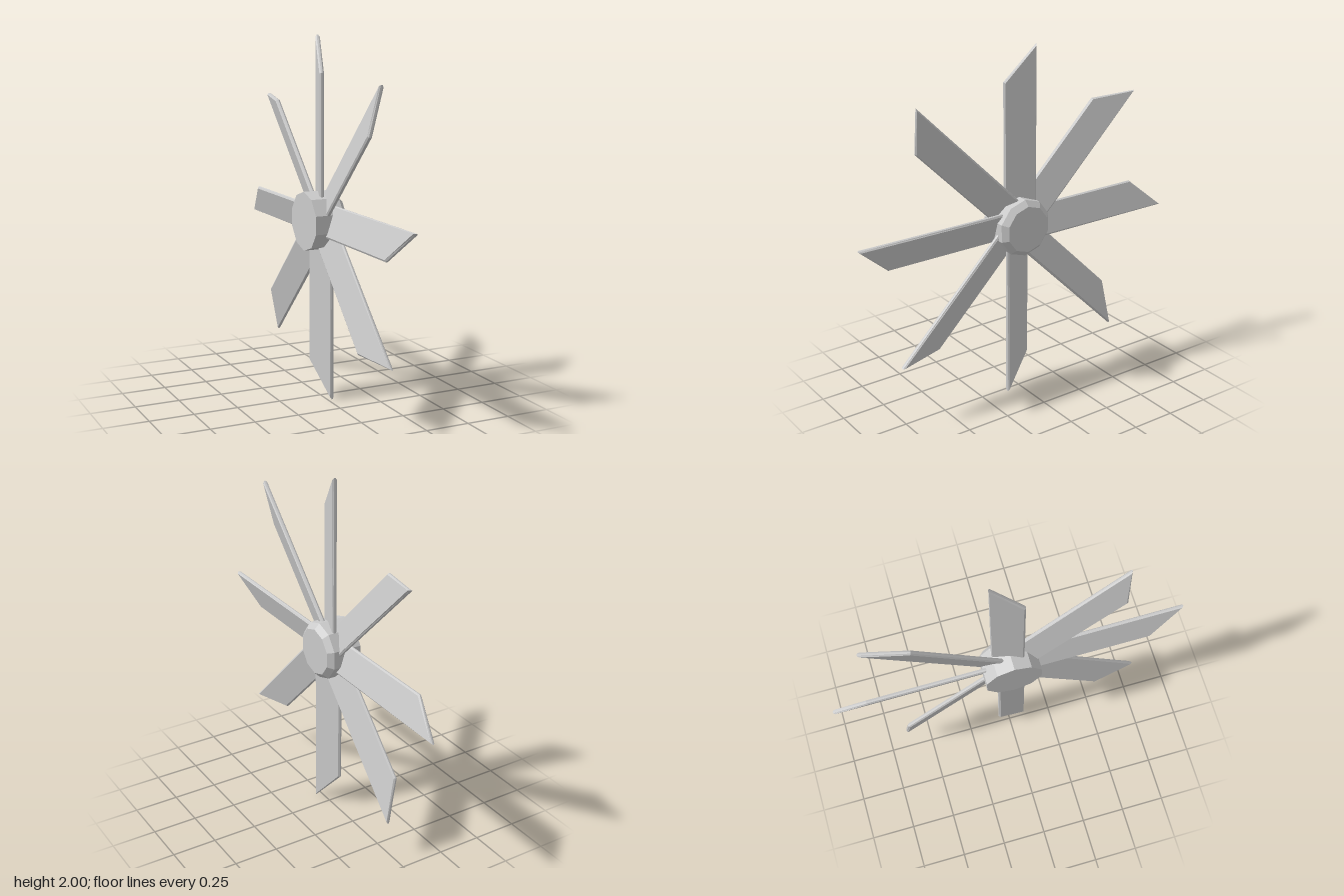
import * as THREE from 'three';

const material = new THREE.MeshStandardMaterial({ color: 0xcccccc, flatShading: true });
const BLADES = 8;
const PITCH = THREE.MathUtils.degToRad(18);

// Ten-sided hub along x, chamfered on its +x end
function createHub() {
  const profile = [[0, -0.1], [0.163, -0.1], [0.163, 0.065], [0.132, 0.095], [0, 0.095]]
    .map(([r, h]) => new THREE.Vector2(r, h));
  const geometry = new THREE.LatheGeometry(profile, 10);
  geometry.rotateY(Math.PI / 2); // a corner points straight up
  geometry.rotateZ(-Math.PI / 2);
  const hub = new THREE.Mesh(geometry, material);
  hub.name = 'hub';
  return hub;
}

// Thin bevelled blade with a slanted tip, pitched about its length
function createBladeGeometry() {
  const half = 0.09, bevel = 0.008, thickness = 0.025;
  const shape = new THREE.Shape([
    new THREE.Vector2(-half, 0.1),
    new THREE.Vector2(half, 0.1),
    new THREE.Vector2(half, 1),
    new THREE.Vector2(-half, 0.805),
  ]);
  const depth = thickness - 2 * bevel;
  const geometry = new THREE.ExtrudeGeometry(shape, {
    depth,
    bevelEnabled: true,
    bevelSegments: 1,
    bevelSize: bevel,
    bevelThickness: bevel,
    bevelOffset: -bevel,
  });
  geometry.translate(0, 0, -depth / 2);
  geometry.rotateY(Math.PI / 2 - PITCH);
  geometry.translate(0, 0, -0.01);
  return geometry;
}

export function createModel() {
  const model = new THREE.Group();
  model.name = 'fan';

  const rotor = new THREE.Group();
  rotor.name = 'rotor';
  rotor.position.y = 1;
  rotor.add(createHub());

  const bladeGeometry = createBladeGeometry();
  for (let i = 0; i < BLADES; i++) {
    const blade = new THREE.Mesh(bladeGeometry, material);
    blade.name = `blade${i + 1}`;
    blade.rotation.x = (i / BLADES) * Math.PI * 2;
    rotor.add(blade);
  }

  model.add(rotor);
  return model;
}
